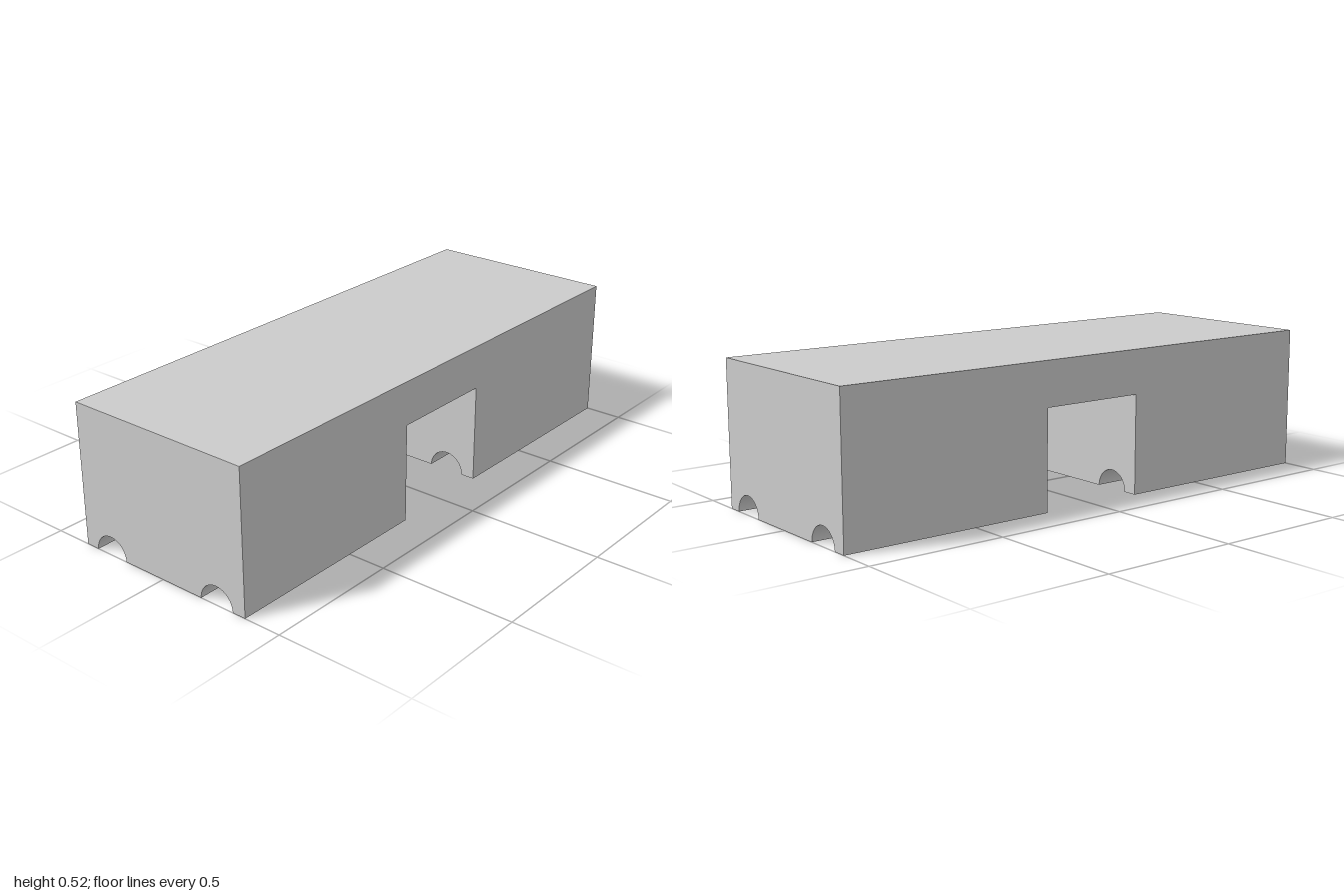
import * as THREE from 'three';

const W = 1, H = 0.52, D = 0.36;          // half length, height, half depth
const SLOT = 0.2, SLOT_H = 0.36;          // half width and height of the central opening
const GROOVE_Z = 0.24, GROOVE_R = 0.0685; // half-round grooves under each foot
const HOLE_R = 0.06, HOLE_DEPTH = 0.3;    // blind hole in each foot
const Q = Math.PI / 2;

const solid = new THREE.MeshStandardMaterial({ color: 0xcccccc });
const inner = new THREE.MeshStandardMaterial({ color: 0xcccccc, side: THREE.DoubleSide });

function add(parent, name, geometry, x, y, z, material = solid) {
  const mesh = new THREE.Mesh(geometry, material);
  mesh.name = name;
  mesh.position.set(x, y, z);
  parent.add(mesh);
}

const polygon = (pts) => new THREE.Shape(pts.map(([x, y]) => new THREE.Vector2(x, y)));
const flat = (shape) => new THREE.ShapeGeometry(shape, 12);

// Cross-section with two half-round notches along its lower edge
function footProfile(height) {
  const s = new THREE.Shape();
  s.moveTo(-D, 0);
  for (const c of [-GROOVE_Z, GROOVE_Z]) {
    s.lineTo(c - GROOVE_R, 0);
    s.absarc(c, 0, GROOVE_R, Math.PI, 0, true);
  }
  s.lineTo(D, 0);
  s.lineTo(D, height);
  s.lineTo(-D, height);
  s.closePath();
  return s;
}

// Underside of one foot: sole with hole, edge strips and grooves
function createFoot(side) {
  const foot = new THREE.Group();
  foot.name = side > 0 ? 'leftFoot' : 'rightFoot';
  const cx = side * (W + SLOT) / 2, len = W - SLOT;

  // inner and outer ends
  add(foot, 'outerEnd', flat(footProfile(H)).rotateY(side * Q), side * W, 0, 0);
  add(foot, 'innerEnd', flat(footProfile(SLOT_H)).rotateY(-side * Q), side * SLOT, 0, 0);

  // sole with its blind hole
  const a = len / 2, b = GROOVE_Z - GROOVE_R;
  const sole = polygon([[-a, -b], [a, -b], [a, b], [-a, b]]);
  const hole = new THREE.Path();
  hole.absarc(0, 0, HOLE_R, 0, Math.PI * 2, true);
  sole.holes.push(hole);
  add(foot, 'sole', flat(sole).rotateX(Q), cx, 0, 0);
  add(foot, 'holeWall', new THREE.CylinderGeometry(HOLE_R, HOLE_R, HOLE_DEPTH, 24, 1, true),
    cx, HOLE_DEPTH / 2, 0, inner);
  add(foot, 'holeEnd', new THREE.CircleGeometry(HOLE_R, 24).rotateX(Q), cx, HOLE_DEPTH, 0);

  // grooves and the narrow strips outside them
  const edge = GROOVE_Z + GROOVE_R;
  for (const s of [-1, 1]) {
    add(foot, 'groove',
      new THREE.CylinderGeometry(GROOVE_R, GROOVE_R, len, 24, 1, true, 0, Math.PI).rotateZ(Q),
      cx, 0, s * GROOVE_Z, inner);
    add(foot, 'edgeStrip', new THREE.PlaneGeometry(len, D - edge).rotateX(Q), cx, 0, s * (D + edge) / 2);
  }
  return foot;
}

export function createModel() {
  const model = new THREE.Group();
  model.name = 'slottedBlock';

  // front and back walls, notched by the central opening
  const wall = polygon([[-W, 0], [-SLOT, 0], [-SLOT, SLOT_H], [SLOT, SLOT_H],
    [SLOT, 0], [W, 0], [W, H], [-W, H]]);
  add(model, 'frontWall', flat(wall), 0, 0, D);
  add(model, 'backWall', flat(wall).rotateY(Math.PI), 0, 0, -D);

  // top and the ceiling of the opening
  add(model, 'top', new THREE.PlaneGeometry(2 * W, 2 * D).rotateX(-Q), 0, H, 0);
  add(model, 'openingCeiling', new THREE.PlaneGeometry(2 * SLOT, 2 * D).rotateX(Q), 0, SLOT_H, 0);

  for (const side of [-1, 1]) model.add(createFoot(side));
  return model;
}
